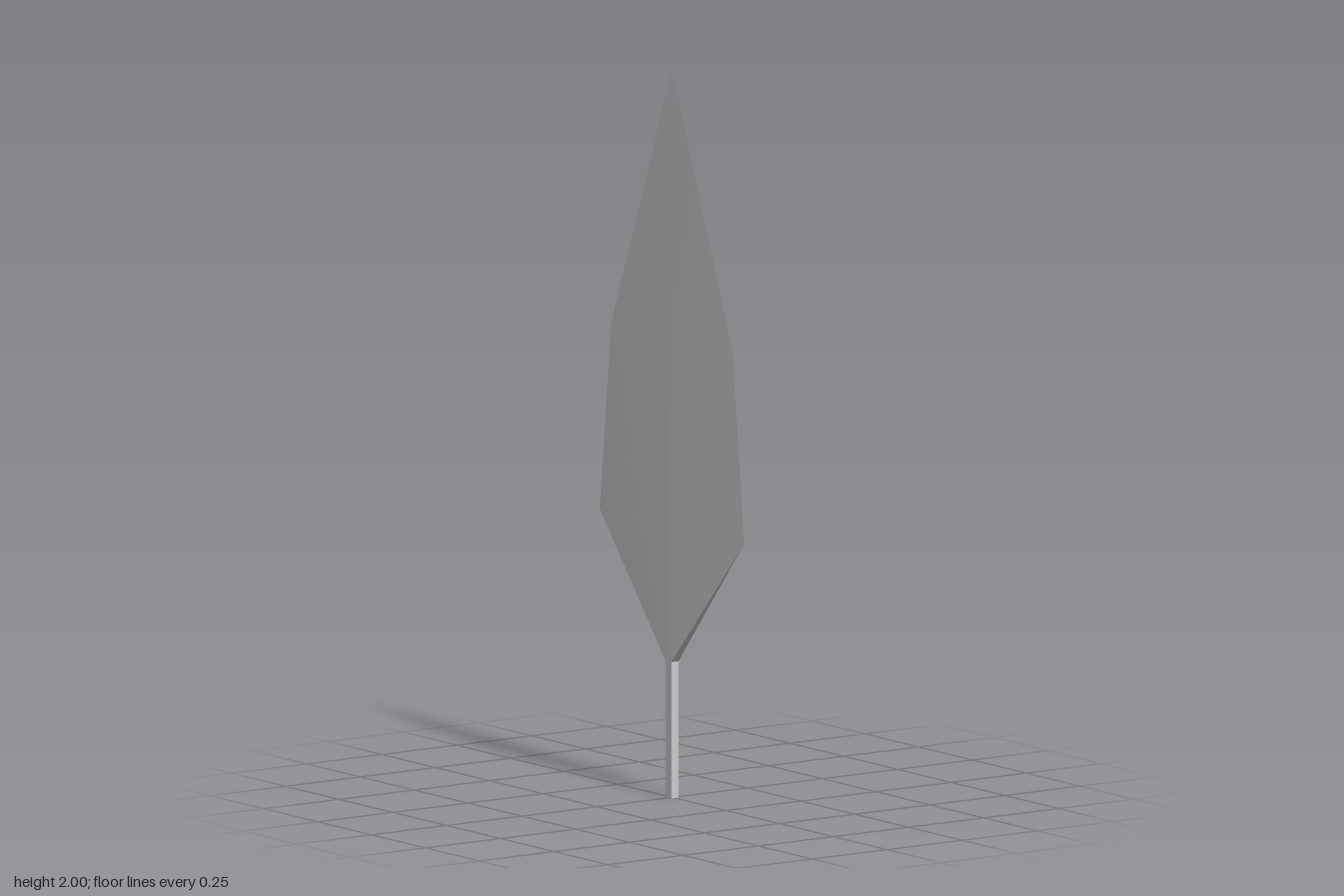
import * as THREE from 'three';

const BASE_Y = 0.375;   // where the blade meets the stem
const HALF_X = 0.012;   // half thickness at the base
const HALF_Z = 0.0135;  // half width of the stem

function triangles(points, index) {
  const geometry = new THREE.BufferGeometry();
  geometry.setAttribute('position', new THREE.Float32BufferAttribute(points.flat(), 3));
  geometry.setIndex(index);
  geometry.computeVertexNormals();
  return geometry;
}

export function createModel() {
  const model = new THREE.Group();
  const material = new THREE.MeshStandardMaterial({ color: 0xcccccc });

  // One blade face: thick at the base, tapering to a sharp outline and tip
  const faceGeometry = triangles([
    [HALF_X, BASE_Y, -HALF_Z],
    [0, 0.745, -0.336],
    [0, 1.265, -0.282],
    [0, 2, 0],
    [0, 1.265, 0.282],
    [0, 0.745, 0.336],
    [HALF_X, BASE_Y, HALF_Z],
  ], [0, 1, 2, 0, 2, 3, 0, 3, 6, 6, 3, 4, 6, 4, 5]);

  // Sloping wedge below one shoulder of the blade
  const undersideGeometry = triangles([
    [HALF_X, BASE_Y, -HALF_Z],
    [-HALF_X, BASE_Y, -HALF_Z],
    [0, 0.745, -0.336],
  ], [0, 1, 2]);

  // Two halves, related by a half turn
  const blade = new THREE.Group();
  blade.name = 'blade';
  for (const angle of [0, Math.PI]) {
    const face = new THREE.Mesh(faceGeometry, material);
    face.name = 'bladeFace';
    const underside = new THREE.Mesh(undersideGeometry, material);
    underside.name = 'bladeUnderside';
    for (const mesh of [face, underside]) {
      mesh.rotation.y = angle;
      blade.add(mesh);
    }
  }
  model.add(blade);

  // Square stem
  const stem = new THREE.Mesh(new THREE.BoxGeometry(HALF_X * 2, BASE_Y, HALF_Z * 2), material);
  stem.name = 'stem';
  stem.position.y = BASE_Y / 2;
  model.add(stem);

  return model;
}
